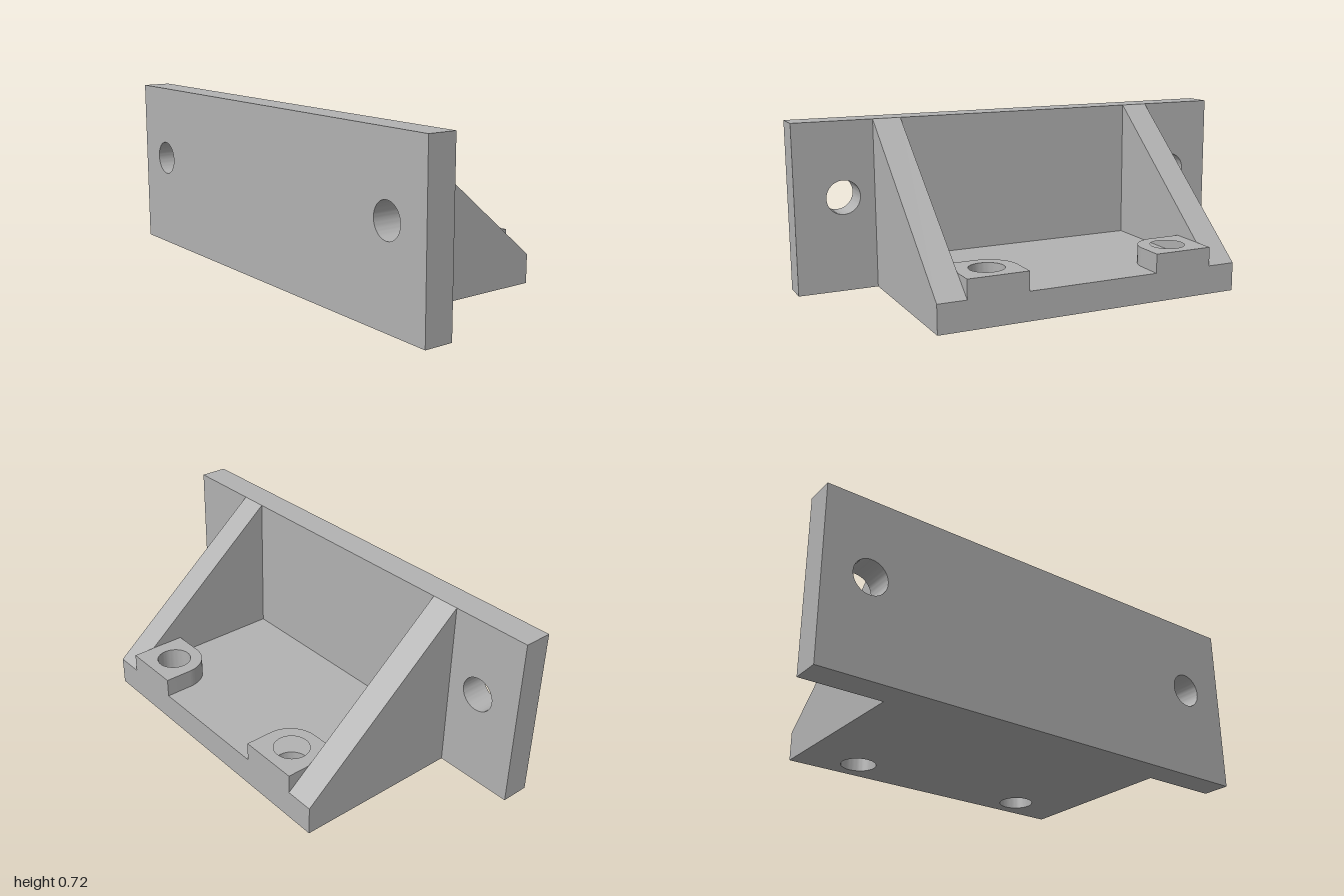
import * as THREE from 'three';
import { toCreasedNormals } from 'three/addons/utils/BufferGeometryUtils.js';

const HOLE_RADIUS = 0.072;

// Extrude a shape and keep its corners sharp while the bores stay smooth
function extrude(shape, depth) {
  const geometry = new THREE.ExtrudeGeometry(shape, { depth, bevelEnabled: false, curveSegments: 32 });
  return toCreasedNormals(geometry, 0.5);
}

function polygon(points) {
  return new THREE.Shape(points.map(([x, y]) => new THREE.Vector2(x, y)));
}

function addHole(shape, x, y) {
  shape.holes.push(new THREE.Path().absarc(x, y, HOLE_RADIUS, 0, Math.PI * 2, true));
}

export function createModel() {
  const group = new THREE.Group();
  const grey = new THREE.MeshStandardMaterial({ color: 0xb2b2b2 });
  grey.name = 'grey';

  const add = (name, geometry) => {
    const mesh = new THREE.Mesh(geometry, grey);
    mesh.name = name;
    group.add(mesh);
  };

  // Upright mounting plate with two bolt holes
  const plate = polygon([[-1, 0], [1, 0], [1, 0.72], [-1, 0.72]]);
  addHole(plate, -0.805, 0.4);
  addHole(plate, 0.795, 0.4);
  add('mountingPlate', extrude(plate, 0.12).translate(0, 0, 0.3));

  // Floor between the ribs; plan shapes use y = -z and are laid flat
  const floor = polygon([[-0.54, -0.3], [0.54, -0.3], [0.54, 0.42], [-0.54, 0.42]]);
  addHole(floor, -0.41, 0.3);
  addHole(floor, 0.41, 0.3);
  add('floor', extrude(floor, 0.12).rotateX(-Math.PI / 2));

  // Sloping side rib, drawn in z and y
  const rib = polygon([[0.3, 0], [0.3, 0.72], [-0.42, 0.12], [-0.42, 0]]);

  for (const [side, s] of [['left', 1], ['right', -1]]) {
    add(side + 'Rib', extrude(rib, 0.12).rotateY(-Math.PI / 2).translate(s * 0.6 + 0.06, 0, 0));

    // Raised boss with one rounded corner around the floor hole
    const boss = new THREE.Shape();
    boss.moveTo(s * 0.54, 0.18);
    boss.lineTo(s * 0.54, 0.42);
    boss.lineTo(s * 0.283, 0.42);
    boss.lineTo(s * 0.283, 0.305);
    boss.absarc(s * 0.408, 0.305, 0.125, s > 0 ? Math.PI : 0, Math.PI * 1.5, s < 0);
    addHole(boss, s * 0.41, 0.3);
    add(side + 'Boss', extrude(boss, 0.08).rotateX(-Math.PI / 2).translate(0, 0.12, 0));
  }
  return group;
}
